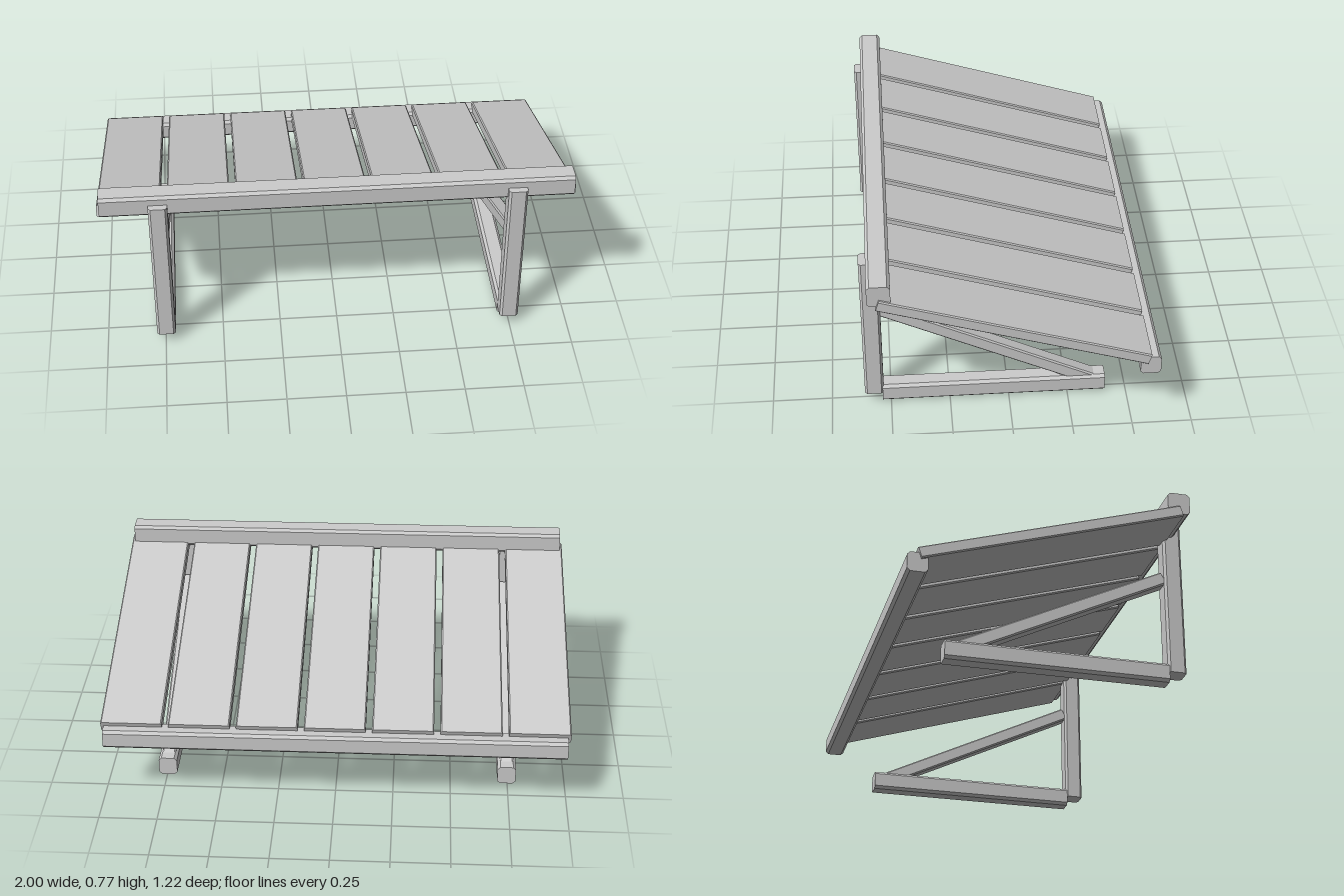
import * as THREE from 'three';

const timber = new THREE.MeshStandardMaterial({ color: 0xcccccc });
timber.name = 'pale grey timber';

// Timber with chamfered long edges, w by h in section, running from point a to point b
function beam(name, w, h, chamfer, a, b) {
  const from = new THREE.Vector3(...a), to = new THREE.Vector3(...b);
  const length = from.distanceTo(to);
  const x = w / 2, y = h / 2, c = chamfer;
  const section = new THREE.Shape([
    [x, c - y], [x, y - c], [x - c, y], [c - x, y],
    [-x, y - c], [-x, c - y], [c - x, -y], [x - c, -y],
  ].map(([px, py]) => new THREE.Vector2(px, py)));
  const geometry = new THREE.ExtrudeGeometry(section, { depth: length, bevelEnabled: false });
  geometry.translate(0, 0, -length / 2);
  const mesh = new THREE.Mesh(geometry, timber);
  mesh.name = name;
  mesh.position.copy(from).add(to).multiplyScalar(0.5);
  mesh.lookAt(to);
  return mesh;
}

export function createModel() {
  const model = new THREE.Group();
  model.name = 'slopedAwning';

  // Long rails along the high front edge and the low back edge
  model.add(
    beam('frontRail', 0.095, 0.095, 0.012, [-0.987, 0.722, 0.533], [0.987, 0.722, 0.533]),
    beam('backRail', 0.085, 0.085, 0.012, [-0.987, 0.303, -0.567], [0.987, 0.303, -0.567]),
  );

  // Seven sloping boards with narrow gaps
  const boards = new THREE.Group();
  boards.name = 'roofBoards';
  for (let i = -3; i <= 3; i++) {
    const x = i * 0.2895;
    boards.add(beam('roofBoard', 0.262, 0.05, 0.005, [x, 0.341, -0.56], [x, 0.684, 0.54]));
  }
  model.add(boards);

  // Triangular support on each side: post, foot and diagonal brace
  for (const side of [-1, 1]) {
    const x = side * 0.746;
    const support = new THREE.Group();
    support.name = side > 0 ? 'leftSupport' : 'rightSupport';
    support.add(
      beam('post', 0.08, 0.08, 0.01, [x, 0.045, 0.57], [x, 0.73, 0.57]),
      beam('foot', 0.08, 0.083, 0.012, [x, 0.0415, -0.41], [x, 0.0415, 0.535]),
      beam('brace', 0.06, 0.057, 0.006, [x, 0.053, -0.36], [x, 0.481, 0.528]),
    );
    model.add(support);
  }
  return model;
}
